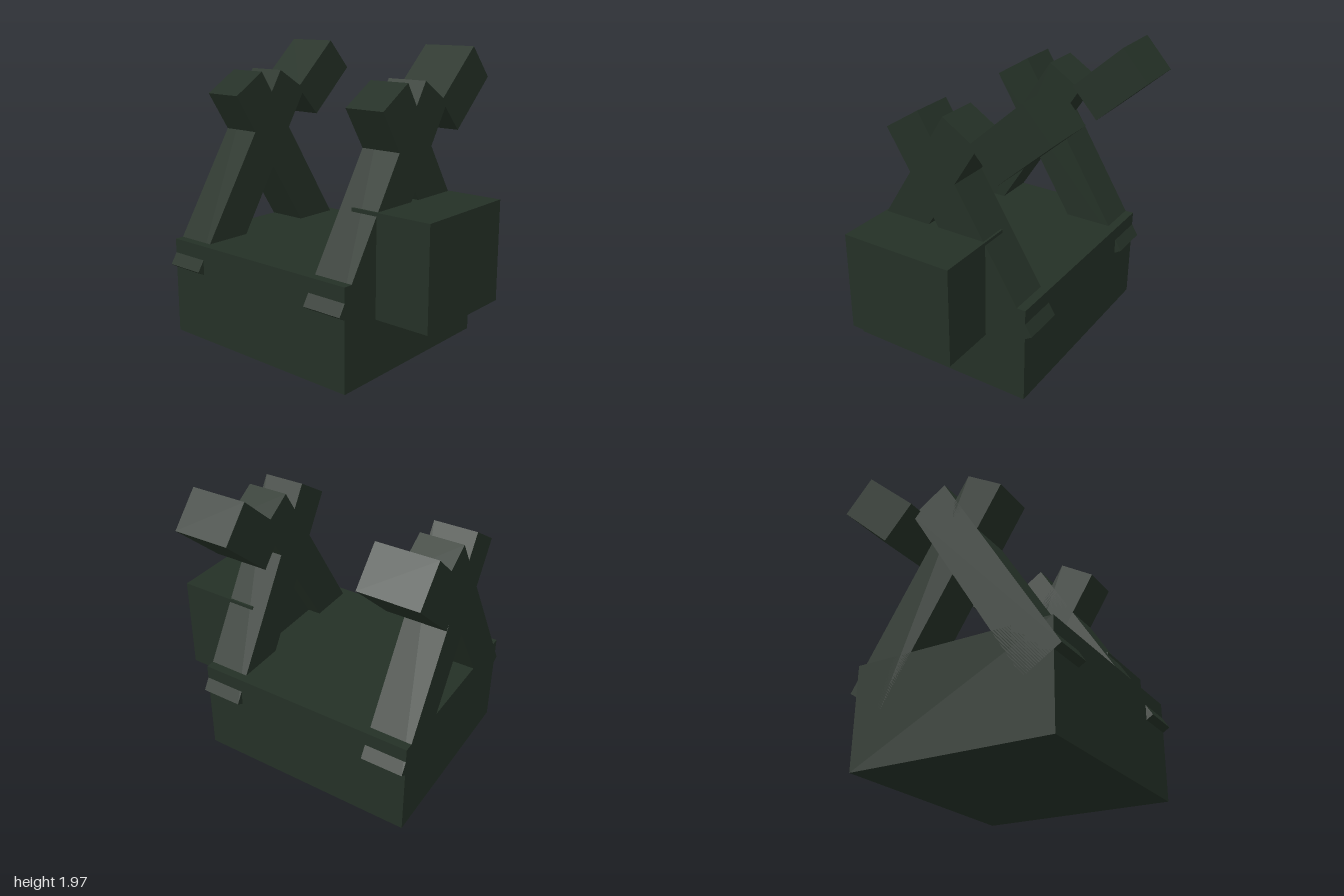
import * as THREE from 'three';

export function createModel() {
  const group = new THREE.Group();
  const darkGreen = new THREE.MeshStandardMaterial({ color: 0x243026 });
  darkGreen.name = 'dark green';

  // Box given by its size and centre, turned about z by an angle in degrees
  function addBox(name, size, centre, degrees = 0) {
    const mesh = new THREE.Mesh(new THREE.BoxGeometry(...size), darkGreen);
    mesh.name = name;
    mesh.position.set(...centre);
    mesh.rotation.z = THREE.MathUtils.degToRad(degrees);
    group.add(mesh);
  }

  // Main body and the box on its front
  addBox('base', [1.335, 0.667, 1.525], [-0.0525, 0.3335, -0.1425]);
  addBox('frontBox', [0.763, 0.665, 0.57], [-0.0525, 0.7175, 0.715]);

  // Two crossed-beam frames, each with a raised block at the upper left
  const middle = -0.052;
  for (const [end, beamZ, blockZ] of [['front', 0.4775, 0.43], ['back', -0.7625, -0.81]]) {
    for (const side of [-1, 1]) {
      const name = end + (side < 0 ? 'RightFootBeam' : 'LeftFootBeam');
      addBox(name, [1.52, 0.28, 0.285], [middle + side * 0.193, 1.065, beamZ], -side * 58);
    }
    addBox(end + 'RaisedBlock', [0.475, 0.283, 0.38], [0.49, 1.705, blockZ], 42.3);
  }

  return group;
}
